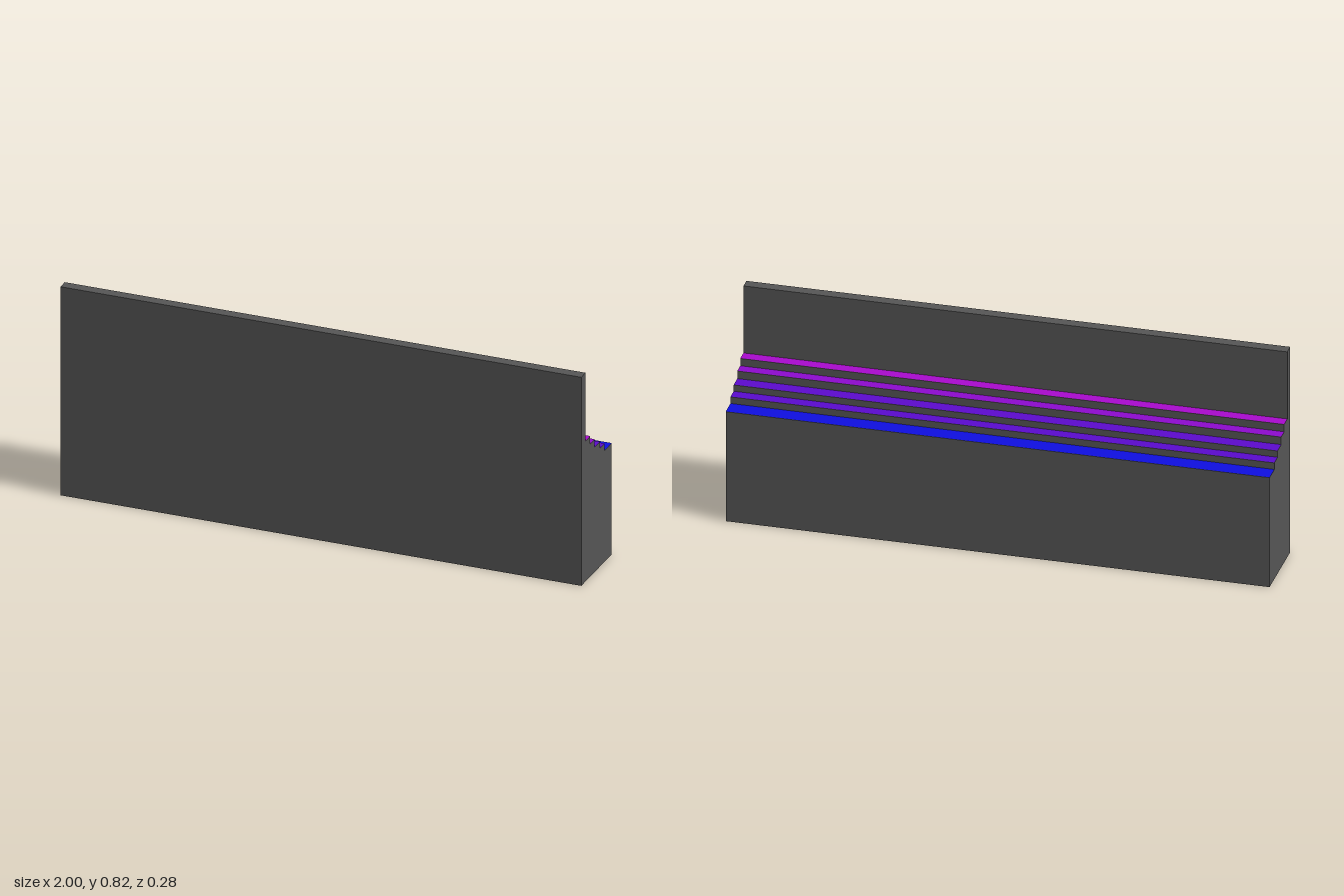
import * as THREE from 'three';

const LENGTH = 2;
const FRONT = 0.142, WALL_BACK = 0.101, WALL_TOP = 0.818;

// Steps from the wall down to the back: rear edge z, height y, tread colour
const STEPS = [
  { z: 0.058, y: 0.55, color: 0xa80acc },
  { z: 0.017, y: 0.52, color: 0x8c0acc },
  { z: -0.033, y: 0.489, color: 0x5c0acc },
  { z: -0.077, y: 0.463, color: 0x5a0acc },
  { z: -0.142, y: 0.436, color: 0x0f0fe0 },
];

export function createModel() {
  const group = new THREE.Group();
  group.name = 'steppedWall';

  // Solid body: side profile (z, y) extruded along x
  const profile = new THREE.Shape();
  profile.moveTo(-FRONT, 0);
  profile.lineTo(FRONT, 0);
  profile.lineTo(FRONT, WALL_TOP);
  profile.lineTo(WALL_BACK, WALL_TOP);
  let z = WALL_BACK;
  for (const step of STEPS) {
    profile.lineTo(z, step.y);
    profile.lineTo(step.z, step.y);
    z = step.z;
  }
  profile.closePath();
  const bodyGeometry = new THREE.ExtrudeGeometry(profile, { depth: LENGTH, bevelEnabled: false });
  bodyGeometry.rotateY(-Math.PI / 2).translate(LENGTH / 2, 0, 0);
  const body = new THREE.Mesh(bodyGeometry, new THREE.MeshStandardMaterial({ color: 0x555555 }));
  body.name = 'wallBody';
  group.add(body);

  // Coloured tread surfaces, laid just above each step
  z = WALL_BACK;
  STEPS.forEach((step, i) => {
    const geometry = new THREE.PlaneGeometry(LENGTH, z - step.z).rotateX(-Math.PI / 2);
    const tread = new THREE.Mesh(geometry, new THREE.MeshStandardMaterial({ color: step.color }));
    tread.position.set(0, step.y + 0.001, (z + step.z) / 2);
    tread.name = `tread${i + 1}`;
    group.add(tread);
    z = step.z;
  });

  return group;
}
